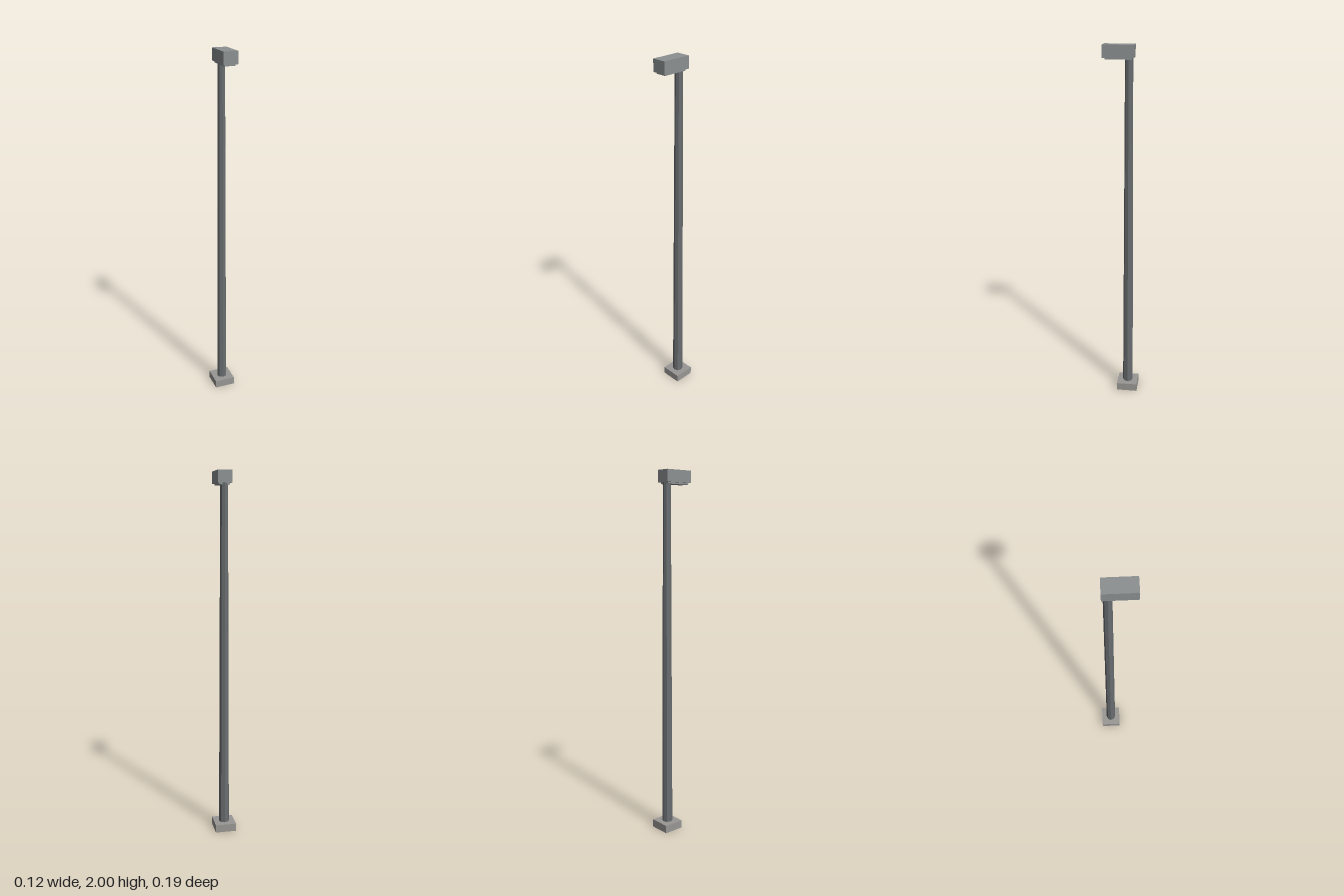
import * as THREE from 'three';

const mat = (color) => new THREE.MeshStandardMaterial({ color, flatShading: true });

export function createModel() {
  const group = new THREE.Group();
  const poleZ = -0.039;

  const add = (name, geometry, material, y, z) => {
    const mesh = new THREE.Mesh(geometry, material);
    mesh.name = name;
    mesh.position.set(0, y, z);
    group.add(mesh);
  };

  const metal = mat(0x8c9091);

  // square concrete footing
  add('base', new THREE.BoxGeometry(0.117, 0.044, 0.117), mat(0x999794), 0.022, poleZ);

  // tapered eight-sided pole
  add('pole', new THREE.CylinderGeometry(0.021, 0.029, 1.9, 8), mat(0x6a6e70), 0.99, poleZ);

  // lamp head reaching forward, with a slim light panel beneath
  add('lampHead', new THREE.BoxGeometry(0.078, 0.064, 0.163), metal, 1.968, 0.0135);
  add('lightPanel', new THREE.BoxGeometry(0.058, 0.014, 0.138), metal, 1.934, 0.0135);

  return group;
}
